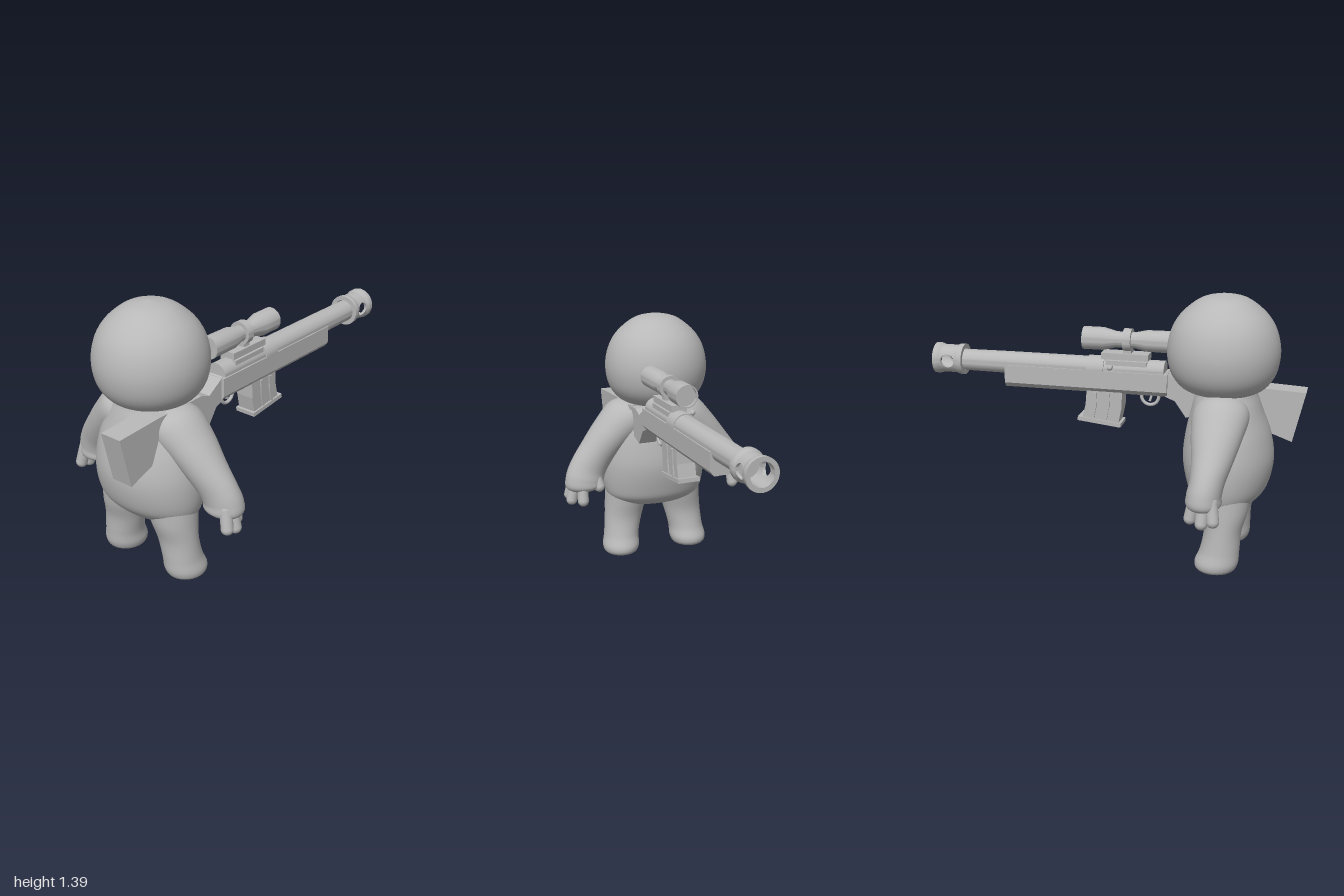
import * as THREE from 'three';
import { toCreasedNormals } from 'three/addons/utils/BufferGeometryUtils.js';

const grey = new THREE.MeshStandardMaterial({ color: 0xb8b8b8, side: THREE.DoubleSide });
grey.name = 'plain grey';

function add(parent, name, geometry, x = 0, y = 0, z = 0) {
  const mesh = new THREE.Mesh(geometry, grey);
  mesh.name = name;
  mesh.position.set(x, y, z);
  parent.add(mesh);
  return mesh;
}

// Grid surface from rings of points; columns always close, rows close on request
function surface(rows, cols, point, closeRows = false) {
  const pos = [], index = [];
  for (let i = 0; i < rows; i++)
    for (let j = 0; j < cols; j++) pos.push(...point(i, j));
  for (let i = 0; i < (closeRows ? rows : rows - 1); i++)
    for (let j = 0; j < cols; j++) {
      const k = (j + 1) % cols, n = (i + 1) % rows;
      const a = i * cols + j, b = n * cols + j, c = n * cols + k, d = i * cols + k;
      index.push(a, b, d, b, c, d);
    }
  const g = new THREE.BufferGeometry();
  g.setAttribute('position', new THREE.Float32BufferAttribute(pos, 3));
  g.setIndex(index);
  g.computeVertexNormals();
  return g;
}

// Smooth loft, bottom to top, through elliptical sections [x, y, z, radiusX, radiusZ, tilt]
function loft(sections, side = 1, rows = 49, cols = 40) {
  const spline = (f) => new THREE.CatmullRomCurve3(sections.map(f), false, 'catmullrom', 0.5);
  const centre = spline(([x, y, z]) => new THREE.Vector3(x, y, z * side));
  const size = spline(([, , , a, b, t = 0]) => new THREE.Vector3(a, b, t * side));
  return surface(rows, cols, (i, j) => {
    const c = centre.getPoint(i / (rows - 1)), s = size.getPoint(i / (rows - 1));
    const t = (j / cols) * Math.PI * 2, w = Math.max(s.y, 0.001) * Math.sin(t);
    return [c.x + Math.max(s.x, 0.001) * Math.cos(t), c.y + w * Math.sin(s.z), c.z + w * Math.cos(s.z)];
  });
}

// Turned part along x from [x, radius] pairs
function turned(profile) {
  const g = new THREE.LatheGeometry(profile.map(([x, r]) => new THREE.Vector2(r, x)), 40);
  return toCreasedNormals(g.rotateZ(-Math.PI / 2), 0.5);
}

// Flat side outline given thickness in z
function plate(points, depth) {
  const shape = new THREE.Shape(points.map(([x, y]) => new THREE.Vector2(x, y)));
  return new THREE.ExtrudeGeometry(shape, { depth, bevelEnabled: false }).translate(0, 0, -depth / 2);
}

const box = (w, h, d) => new THREE.BoxGeometry(w, h, d);

// Half of the muzzle sleeve, with a round port cut through its wall
function muzzleHalf() {
  const half = 0.082, bore = 0.06, port = 0.037, steps = 10;
  const outer = (x) => 0.075 + 0.008 * THREE.MathUtils.smoothstep(Math.abs(x), 0.035, 0.06);
  return toCreasedNormals(surface(steps * 2, 64, (i, j) => {
    const isOuter = i < steps;
    const t = isOuter ? i / (steps - 1) : (2 * steps - 1 - i) / (steps - 1);
    const phi = (j / 64) * Math.PI * 2, c = Math.cos(phi), s = Math.sin(phi);
    const m = Math.max(Math.abs(c), Math.abs(s));
    const x = THREE.MathUtils.lerp(port * c, (half * c) / m, t);
    const r = isOuter ? outer(x) : bore;
    const holeR = isOuter ? 0.076 : bore;
    const angle = THREE.MathUtils.lerp(Math.asin((port * s) / holeR), ((Math.PI / 2) * s) / m, t);
    return [x, r * Math.sin(angle), r * Math.cos(angle)];
  }, true), 0.6);
}

function buildFigure() {
  const figure = new THREE.Group();
  figure.name = 'figure';

  // Round head, flatter underneath
  const headCurve = new THREE.SplineCurve([
    [0, 0.882], [0.1, 0.886], [0.185, 0.91], [0.235, 0.95], [0.268, 1.01], [0.282, 1.09],
    [0.274, 1.17], [0.246, 1.245], [0.195, 1.31], [0.11, 1.37], [0, 1.393],
  ].map(([r, y]) => new THREE.Vector2(r, y)));
  const headPoints = headCurve.getPoints(48).map((p) => new THREE.Vector2(Math.max(p.x, 0), p.y));
  add(figure, 'head', new THREE.LatheGeometry(headPoints, 56), -0.59, 0, -0.01);

  add(figure, 'body', loft([
    [-0.62, 0.29, 0, 0.01, 0.02], [-0.62, 0.305, 0, 0.1, 0.17], [-0.62, 0.35, 0, 0.165, 0.26],
    [-0.63, 0.42, 0, 0.205, 0.293], [-0.63, 0.55, 0, 0.23, 0.302], [-0.625, 0.68, 0, 0.215, 0.285],
    [-0.615, 0.8, 0, 0.18, 0.25], [-0.61, 0.88, 0, 0.155, 0.205], [-0.61, 0.945, 0, 0.12, 0.15],
    [-0.61, 0.97, 0, 0.01, 0.01],
  ], 1, 64, 56));

  for (const side of [1, -1]) {
    const label = side > 0 ? 'left' : 'right';
    add(figure, label + 'Leg', loft([
      [-0.61, 0.004, 0.21, 0.005, 0.005], [-0.61, 0.012, 0.21, 0.085, 0.08], [-0.615, 0.05, 0.208, 0.11, 0.104],
      [-0.63, 0.12, 0.2, 0.1, 0.1], [-0.64, 0.22, 0.183, 0.095, 0.108], [-0.645, 0.32, 0.165, 0.115, 0.12],
      [-0.64, 0.42, 0.15, 0.13, 0.13],
    ], side));
    add(figure, label + 'Arm', loft([
      [-0.58, 0.405, 0.435, 0.005, 0.005, 0], [-0.58, 0.44, 0.43, 0.08, 0.098, 0],
      [-0.58, 0.49, 0.425, 0.085, 0.108, 0.15], [-0.59, 0.55, 0.4, 0.085, 0.104, 0.4],
      [-0.6, 0.63, 0.345, 0.1, 0.1, 0.6], [-0.605, 0.73, 0.26, 0.125, 0.108, 0.7],
      [-0.61, 0.82, 0.16, 0.14, 0.12, 0.75], [-0.61, 0.87, 0.08, 0.1, 0.08, 0.8],
    ], side));

    // Stubby fingers and thumb: [x, y, z] of tip, then root
    const fingers = [
      [[-0.638, 0.388, 0.5], [-0.625, 0.48, 0.48]], [[-0.583, 0.374, 0.503], [-0.585, 0.48, 0.48]],
      [[-0.52, 0.378, 0.455], [-0.54, 0.48, 0.45]], [[-0.525, 0.45, 0.358], [-0.55, 0.52, 0.375]],
    ];
    fingers.forEach(([tip, root], i) => {
      const a = new THREE.Vector3(tip[0], tip[1], tip[2] * side);
      const b = new THREE.Vector3(root[0], root[1], root[2] * side);
      const along = b.clone().sub(a);
      const name = label + (i < 3 ? 'Finger' + (i + 1) : 'Thumb');
      const mesh = add(figure, name, new THREE.CapsuleGeometry(0.031, along.length(), 8, 18));
      mesh.position.copy(a).add(b).multiplyScalar(0.5);
      mesh.quaternion.setFromUnitVectors(new THREE.Vector3(0, 1, 0), along.normalize());
    });
  }
  return figure;
}

function buildRifle() {
  const rifle = new THREE.Group();
  rifle.name = 'rifle';

  // Stock: butt, wrist and grip
  add(rifle, 'buttStock', plate([[-1, 0.892], [-0.94, 0.63], [-0.8, 0.68], [-0.74, 0.82], [-0.5, 0.82],
    [-0.5, 0.905], [-0.74, 0.905]], 0.118));
  add(rifle, 'grip', plate([[-0.55, 0.9], [-0.55, 0.82], [-0.47, 0.74], [-0.39, 0.715], [-0.33, 0.8],
    [-0.28, 0.82], [-0.28, 0.945], [-0.38, 0.88], [-0.44, 0.9]], 0.1));
  const fore = plate([[-0.066, 0.94], [-0.066, 0.845], [-0.045, 0.82], [0.045, 0.82], [0.066, 0.845], [0.066, 0.94]], 0.88);
  add(rifle, 'foreStock', fore.rotateY(Math.PI / 2), 0.15);

  // Receiver and barrel
  add(rifle, 'receiver', turned([[-0.27, 0], [-0.27, 0.058], [0.05, 0.058], [0.05, 0.066], [0.14, 0.066],
    [0.14, 0.06], [0.6, 0.059], [0.85, 0.057], [0.85, 0]]), 0, 0.941);
  add(rifle, 'receiverBlock', box(0.22, 0.06, 0.1), -0.07, 0.965);
  for (const turn of [0, Math.PI])
    add(rifle, 'muzzleSleeve', muzzleHalf(), 0.914, 0.943).rotation.y = turn;

  // Bolt handle on the far side
  add(rifle, 'boltRod', new THREE.CylinderGeometry(0.008, 0.008, 0.06, 12).rotateX(Math.PI / 2), 0.005, 0.967, -0.07);
  add(rifle, 'boltKnob', new THREE.SphereGeometry(0.015, 16, 12), 0.005, 0.97, -0.098);

  // Scope with recessed front and rear rims
  add(rifle, 'scope', turned([[-0.32, 0], [-0.32, 0.05], [-0.33, 0.05], [-0.33, 0.058], [-0.17, 0.056],
    [-0.11, 0.042], [-0.01, 0.042], [0.06, 0.06], [0.167, 0.06], [0.167, 0.052], [0.15, 0.052], [0.15, 0]]), 0, 1.1);
  add(rifle, 'scopeRing', turned([[-0.092, 0.04], [-0.092, 0.06], [-0.05, 0.06], [-0.05, 0.04]]), 0, 1.1);
  add(rifle, 'scopePost', box(0.042, 0.05, 0.06), -0.071, 1.04);
  add(rifle, 'scopeRail', box(0.25, 0.034, 0.085), -0.06, 1.016);

  // Trigger guard and trigger
  add(rifle, 'triggerGuard', new THREE.TorusGeometry(0.046, 0.009, 10, 32), -0.19, 0.804);
  add(rifle, 'trigger', box(0.012, 0.045, 0.015), -0.195, 0.8).rotation.z = 0.3;

  // Curved magazine with ribs and base plate
  add(rifle, 'magazine', plate([[-0.05, 0.83], [-0.047, 0.74], [-0.03, 0.655], [0.165, 0.68],
    [0.148, 0.75], [0.142, 0.83]], 0.1));
  for (const x of [0.015, 0.085])
    add(rifle, 'magazineRib', plate([[x, 0.82], [x + 0.004, 0.74], [x + 0.018, 0.67], [x + 0.036, 0.673],
      [x + 0.021, 0.742], [x + 0.016, 0.82]], 0.114));
  add(rifle, 'magazineBase', box(0.235, 0.022, 0.118), 0.073, 0.66).rotation.z = 0.11;

  rifle.position.z = 0.11;
  rifle.rotation.y = 0.017;
  return rifle;
}

export function createModel() {
  const model = new THREE.Group();
  model.name = 'figureWithRifle';
  model.add(buildFigure(), buildRifle());
  return model;
}
